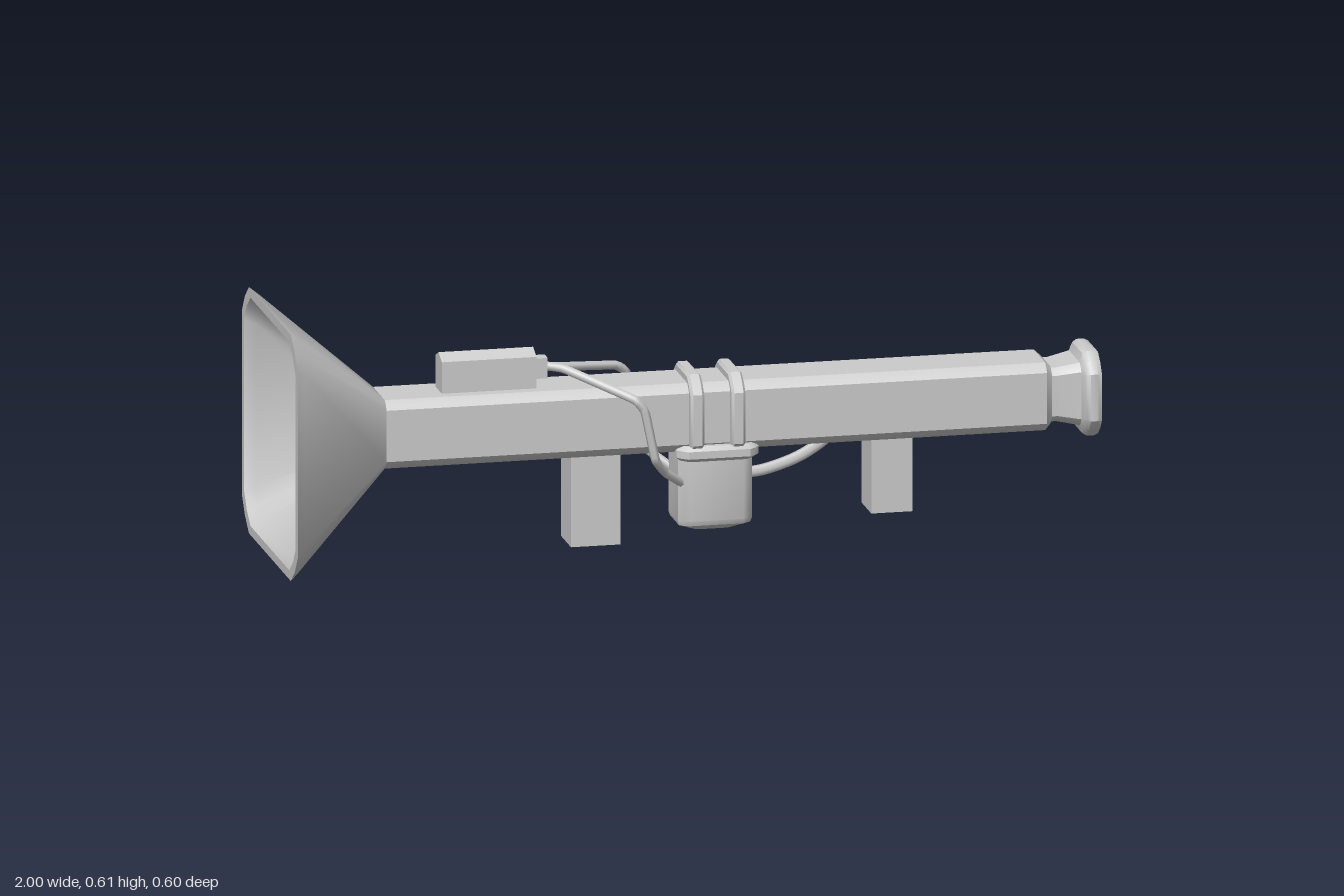
import * as THREE from 'three';
import { toCreasedNormals } from 'three/addons/utils/BufferGeometryUtils.js';

const AXIS_Y = 0.306;

// Rounded-square loft along x; each section is [x, halfY, halfZ, flatRatio]
function loft(sections, crease = 0.6) {
  const pos = [], idx = [], n = 12;
  for (const [x, hy, hz = hy, r = 0.75] of sections) {
    const m = (1 + r) / 2 + 0.07 * (1 - r);
    const corner = [[1, r], [m, m], [r, 1]];
    for (let q = 0; q < 4; q++) {
      for (const [a, b] of corner) {
        const [y, z] = [[a, b], [-b, a], [-a, -b], [b, -a]][q];
        pos.push(x, y * hy, z * hz);
      }
    }
  }
  for (let i = 0; i < sections.length - 1; i++) {
    for (let j = 0; j < n; j++) {
      const a = i * n + j, b = i * n + (j + 1) % n;
      idx.push(a, b, b + n, a, b + n, a + n);
    }
  }
  const geo = new THREE.BufferGeometry();
  geo.setAttribute('position', new THREE.Float32BufferAttribute(pos, 3));
  geo.setIndex(idx);
  return toCreasedNormals(geo, crease);
}

export function createModel() {
  const group = new THREE.Group();
  const material = new THREE.MeshStandardMaterial({ color: 0xcccccc });
  const add = (name, geo, x = 0, y = 0, z = 0) => {
    const mesh = new THREE.Mesh(geo, material);
    mesh.name = name;
    mesh.position.set(x, y, z);
    group.add(mesh);
    return mesh;
  };

  // Barrel with the hollow rear flare
  add('barrel', loft([
    [-0.72, 0], [-0.72, 0.06], [-0.975, 0.265], [-1, 0.28], [-1, 0.302],
    [-0.98, 0.287], [-0.735, 0.084], [0.87, 0.083], [0.885, 0.07], [0.885, 0],
  ]), 0, AXIS_Y);

  // Muzzle neck, ring and recessed front
  add('muzzle', loft([
    [0.87, 0.066], [0.9, 0.066], [0.955, 0.077],
    [0.962, 0.098, 0.098, 0.55], [0.972, 0.104, 0.104, 0.55],
    [0.99, 0.104, 0.104, 0.55], [1, 0.1, 0.1, 0.55],
    [1, 0.086, 0.086, 0.55], [0.975, 0.078, 0.078, 0.6], [0.975, 0],
  ]), 0, AXIS_Y);

  // Grips
  add('rearGrip', new THREE.BoxGeometry(0.12, 0.24, 0.106), -0.22, 0.12, 0);
  add('frontGrip', new THREE.BoxGeometry(0.1, 0.2, 0.104), 0.5, 0.14, 0);

  // Canister and its lid, lofted upwards
  const upright = (sections) => loft(sections).rotateZ(Math.PI / 2);
  add('canister', upright([
    [0.018, 0], [0.02, 0.045, 0.03], [0.038, 0.087, 0.066],
    [0.05, 0.09, 0.07], [0.21, 0.09, 0.07], [0.21, 0],
  ]), 0.07);
  add('canisterLid', upright([
    [0.203, 0], [0.203, 0.09, 0.095], [0.212, 0.1, 0.105],
    [0.23, 0.1, 0.105], [0.24, 0.09, 0.095], [0.24, 0],
  ]), 0.07);

  // Straps around the barrel
  for (const x of [0.017, 0.117]) {
    add('strap', loft([
      [-0.017, 0.07], [-0.017, 0.098, 0.098, 0.6], [-0.011, 0.104, 0.104, 0.6],
      [0.011, 0.104, 0.104, 0.6], [0.017, 0.098, 0.098, 0.6], [0.017, 0.07],
    ]), x, AXIS_Y);
  }

  // Ridged control box and cable socket on top
  const profile = new THREE.Shape([
    [-0.035, 0.38], [0.035, 0.38], [0.035, 0.467], [0, 0.483], [-0.035, 0.467],
  ].map(([z, y]) => new THREE.Vector2(z, y)));
  const box = new THREE.ExtrudeGeometry(profile, { depth: 0.23, bevelEnabled: false });
  add('controlBox', box.rotateY(Math.PI / 2), -0.59);
  add('cableSocket', new THREE.BoxGeometry(0.035, 0.05, 0.034), -0.346, 0.433, 0);

  // Cables
  const cable = (name, radius, tension, points) => {
    const path = new THREE.CatmullRomCurve3(
      points.map((p) => new THREE.Vector3(...p)), false, 'catmullrom', tension);
    add(name, new THREE.TubeGeometry(path, 40, radius, 6));
  };
  cable('leftCable', 0.011, 0.12, [
    [-0.35, 0.438, 0], [-0.29, 0.43, 0.02], [-0.14, 0.37, 0.115],
    [-0.115, 0.34, 0.12], [-0.09, 0.22, 0.12], [-0.06, 0.18, 0.09], [0, 0.135, 0.045],
  ]);
  cable('rightCable', 0.011, 0.12, [
    [-0.35, 0.435, 0], [-0.29, 0.425, -0.02], [-0.14, 0.402, -0.09],
    [-0.11, 0.38, -0.105], [-0.1, 0.31, -0.132], [-0.085, 0.21, -0.09], [0, 0.145, -0.045],
  ]);
  cable('feedHose', 0.014, 0.5, [
    [0.14, 0.145, 0], [0.2, 0.15, 0], [0.28, 0.175, 0], [0.34, 0.21, 0], [0.37, 0.24, 0],
  ]);
  return group;
}
